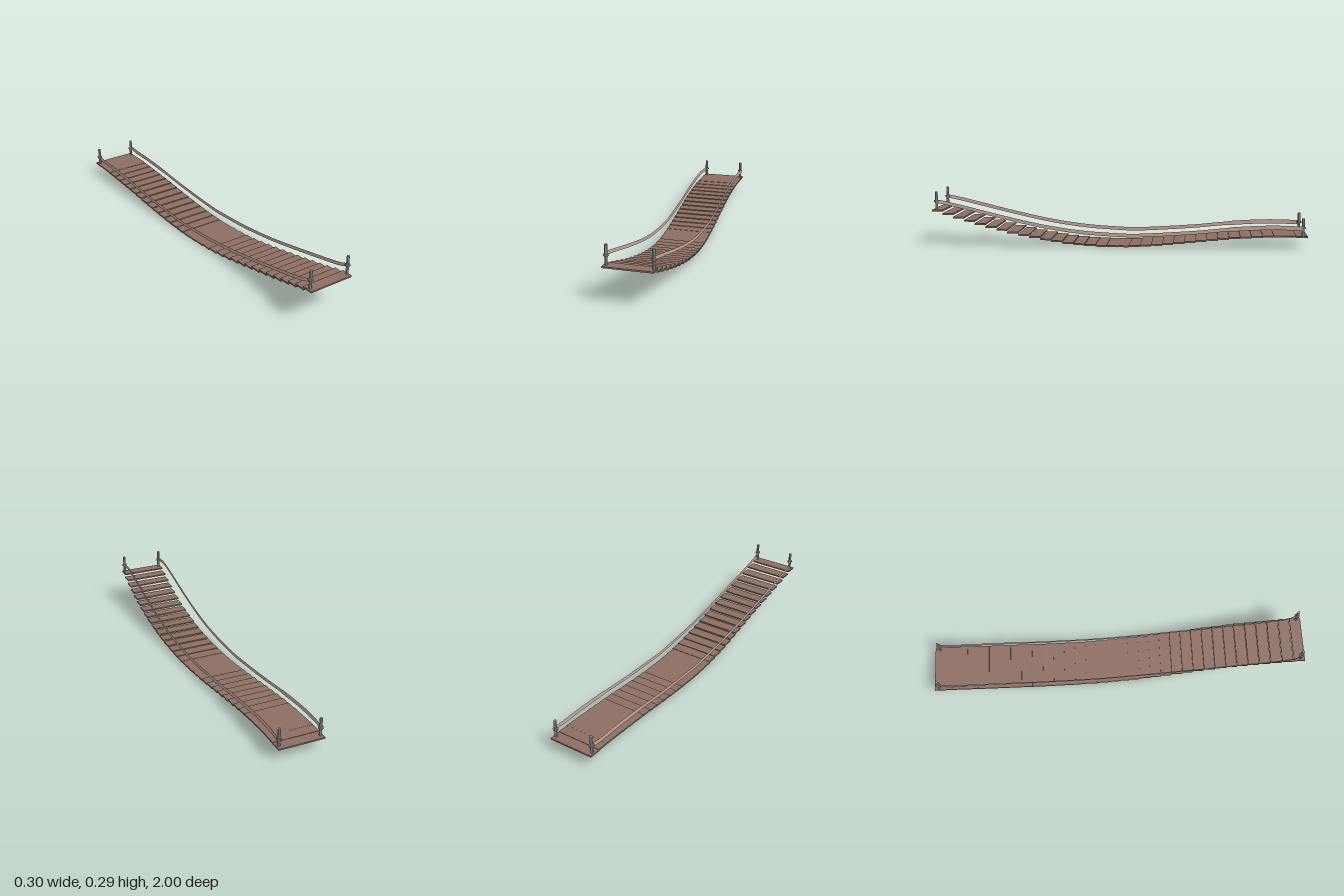
import * as THREE from 'three';

// Smooth interpolation through [z, value] pairs ordered from back to front
function profile(pairs) {
  const v = pairs.map(([z, y]) => new THREE.Vector2(z, y));
  return (z) => {
    let i = 0;
    while (i < v.length - 2 && z > v[i + 1].x) i++;
    const a = v[Math.max(i - 1, 0)], b = v[i], c = v[i + 1], d = v[Math.min(i + 2, v.length - 1)];
    const h = c.x - b.x, t = THREE.MathUtils.clamp((z - b.x) / h, 0, 1);
    const m0 = ((c.y - a.y) / (c.x - a.x)) * h, m1 = ((d.y - b.y) / (d.x - b.x)) * h;
    const t2 = t * t, t3 = t2 * t;
    return (2 * t3 - 3 * t2 + 1) * b.y + (t3 - 2 * t2 + t) * m0 + (3 * t2 - 2 * t3) * c.y + (t3 - t2) * m1;
  };
}

const deckY = profile([[-1, 0.061], [-0.85, 0.064], [-0.6, 0.051], [-0.4, 0.031], [-0.2, 0.012],
  [-0.05, 0.004], [0.1, 0.006], [0.27, 0.021], [0.5, 0.062], [0.74, 0.118], [0.97, 0.185]]);
const deckX = profile([[-1, -0.027], [-0.7, -0.027], [-0.4, -0.019], [-0.2, -0.01], [0, 0.001],
  [0.2, 0.013], [0.4, 0.023], [0.55, 0.0265], [0.7, 0.024], [0.85, 0.017], [1, 0.008]]);
const ropeY = profile([[-0.975, 0.107], [-0.8, 0.109], [-0.6, 0.098], [-0.4, 0.079], [-0.1, 0.061],
  [0, 0.063], [0.2, 0.077], [0.4, 0.106], [0.6, 0.148], [0.8, 0.195], [0.975, 0.236]]);
const ropeX = profile([[-0.975, -0.138], [-0.9, -0.145], [-0.6, -0.14], [-0.2, -0.127], [0, -0.12],
  [0.3, -0.113], [0.6, -0.115], [0.93, -0.118], [0.975, -0.103]]);

// Thin upright band following the rope curve
function ropeGeometry(shift) {
  const pos = [], idx = [], n = 64;
  for (let i = 0; i <= n; i++) {
    const z = -0.975 + (1.95 * i) / n;
    const half = z < -0.6 ? 0.0115 : 0.0095;
    const x = ropeX(z) + shift, y = ropeY(z);
    pos.push(x, y - half, z, x, y + half, z);
    if (i < n) {
      const k = 2 * i;
      idx.push(k, k + 1, k + 2, k + 1, k + 3, k + 2);
    }
  }
  const g = new THREE.BufferGeometry();
  g.setAttribute('position', new THREE.Float32BufferAttribute(pos, 3));
  g.setIndex(idx);
  g.computeVertexNormals();
  return g;
}

export function createModel() {
  const wood = new THREE.MeshStandardMaterial({ name: 'plankBrown', color: 0x8d6e63 });
  const ropeMat = new THREE.MeshStandardMaterial({ name: 'ropeTan', color: 0xc6a89f, side: THREE.DoubleSide });
  const metal = new THREE.MeshStandardMaterial({ name: 'postGrey', color: 0x9e9e9e, flatShading: true });

  const bridge = new THREE.Group();
  bridge.name = 'hangingBridge';
  const add = (parent, geometry, material, name, x, y, z) => {
    const mesh = new THREE.Mesh(geometry, material);
    mesh.name = name;
    mesh.position.set(x, y, z);
    parent.add(mesh);
    return mesh;
  };

  // Level planks stepping along the sagging, swaying deck
  const deck = new THREE.Group();
  deck.name = 'deck';
  bridge.add(deck);
  const count = 34, pitch = 2 / count;
  const plankGeo = new THREE.BoxGeometry(0.246, 0.008, pitch);
  for (let i = 0; i < count; i++) {
    const z = -1 + pitch * (i + 0.5);
    add(deck, plankGeo, wood, 'plank', deckX(z), deckY(z), z);
  }

  // Handrail ropes
  add(bridge, ropeGeometry(0), ropeMat, 'rightRope', 0, 0, 0);
  add(bridge, ropeGeometry(0.232), ropeMat, 'leftRope', 0, 0, 0);

  // End posts with a collar where each rope is tied
  const postGeo = new THREE.CylinderGeometry(0.0075, 0.0075, 0.1, 6);
  const collarGeo = new THREE.CylinderGeometry(0.0135, 0.0135, 0.008, 8);
  const posts = [['frontRightPost', -0.099, 0.238, 0.975], ['frontLeftPost', 0.125, 0.238, 0.975],
    ['backRightPost', -0.136, 0.11, -0.975], ['backLeftPost', 0.083, 0.11, -0.975]];
  for (const [name, x, y, z] of posts) {
    const post = new THREE.Group();
    post.name = name;
    post.position.set(x, y, z);
    bridge.add(post);
    add(post, postGeo, metal, 'shaft', 0, 0, 0);
    add(post, collarGeo, metal, 'collar', 0, -0.001, 0);
  }
  return bridge;
}
